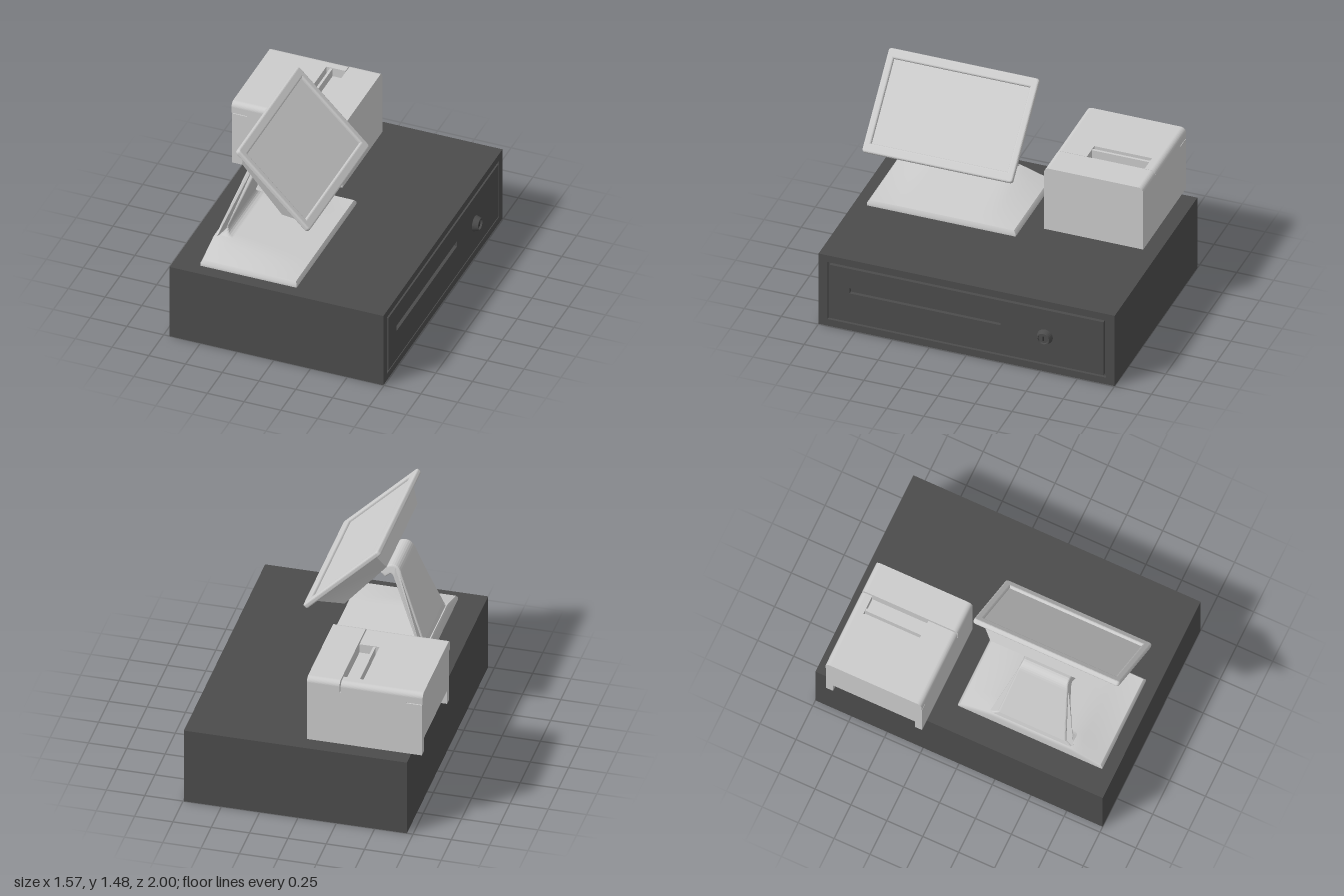
import * as THREE from 'three';

const light = new THREE.MeshStandardMaterial({ color: 0xcccccc });
const dark = new THREE.MeshStandardMaterial({ color: 0x4c4c4c });
const black = new THREE.MeshStandardMaterial({ color: 0x2c2c2c });

function add(parent, name, geometry, material, x = 0, y = 0, z = 0) {
  const mesh = new THREE.Mesh(geometry, material);
  mesh.name = name;
  mesh.position.set(x, y, z);
  parent.add(mesh);
  return mesh;
}

// Box given by its minimum and maximum corners
function block(parent, name, a, b, material) {
  return add(parent, name, new THREE.BoxGeometry(b[0] - a[0], b[1] - a[1], b[2] - a[2]), material,
    (a[0] + b[0]) / 2, (a[1] + b[1]) / 2, (a[2] + b[2]) / 2);
}

function rectPath(x0, y0, x1, y1, Type = THREE.Path) {
  return new Type([[x0, y0], [x1, y0], [x1, y1], [x0, y1]].map(p => new THREE.Vector2(...p)));
}

// Extrudes a shape drawn in (-z, y) along +x, from x0 to x1
function extrudeX(shape, x0, x1) {
  return new THREE.ExtrudeGeometry(shape, { depth: x1 - x0, bevelEnabled: false, curveSegments: 6 })
    .rotateY(Math.PI / 2).translate(x0, 0, 0);
}

function makeDrawer() {
  const g = new THREE.Group();
  g.name = 'cashDrawer';
  block(g, 'drawerCase', [-0.71, 0, -1], [0.725, 0.53, 1], dark);
  // Front surround and the panel inside it, with a narrow gap between
  const rim = rectPath(-1, 0, 1, 0.53, THREE.Shape);
  rim.holes.push(rectPath(-0.94, 0.05, 0.94, 0.48));
  add(g, 'frontSurround', extrudeX(rim, 0.725, 0.745), dark);
  const panel = rectPath(-0.925, 0.065, 0.925, 0.465, THREE.Shape);
  panel.holes.push(rectPath(-0.79, 0.28, 0.23, 0.32));
  add(g, 'drawerPanel', extrudeX(panel, 0.725, 0.748), dark);
  // Lock with key slot
  const lock = new THREE.Group();
  lock.name = 'lock';
  lock.position.set(0.745, 0.265, -0.53);
  lock.rotation.z = -Math.PI / 2;
  g.add(lock);
  const profile = [[0.054, 0], [0.042, 0.04], [0.035, 0.04], [0.033, 0.028], [0, 0.028]];
  add(lock, 'lockBarrel', new THREE.LatheGeometry(profile.map(p => new THREE.Vector2(...p)), 28),
    new THREE.MeshStandardMaterial({ color: 0x4c4c4c, side: THREE.DoubleSide, flatShading: true }));
  add(lock, 'keySlot', new THREE.BoxGeometry(0.03, 0.006, 0.008), black, 0, 0.029, 0);
  return g;
}

// Printer section in (-z, y): rounded top corners, optional notch below or above
function printerSection(y0, y1, r, under, over) {
  const a = 0.225, b = 0.895, s = new THREE.Shape();
  s.moveTo(a, y0);
  if (under) {
    s.lineTo(a + 0.05, y0); s.lineTo(a + 0.05, under);
    s.lineTo(b - 0.05, under); s.lineTo(b - 0.05, y0);
  }
  s.lineTo(b, y0);
  s.lineTo(b, y1 - r);
  if (r) s.absarc(b - r, y1 - r, r, 0, Math.PI / 2);
  if (over) {
    s.lineTo(0.82, y1); s.lineTo(0.82, over);
    s.lineTo(0.43, over); s.lineTo(0.43, y1);
  }
  s.lineTo(a + r, y1);
  if (r) s.absarc(a + r, y1 - r, r, Math.PI / 2, Math.PI);
  return s;
}

function makePrinter() {
  const g = new THREE.Group();
  g.name = 'receiptPrinter';
  add(g, 'printerBody', extrudeX(printerSection(0.53, 0.91, 0), -0.68, -0.03), light);
  add(g, 'cableArch', extrudeX(printerSection(0.53, 0.905, 0, 0.63), -0.78, -0.68), light);
  add(g, 'frontCover', extrudeX(printerSection(0.91, 0.99, 0.035), -0.243, -0.03), light);
  add(g, 'lidSlotPart', extrudeX(printerSection(0.91, 0.987, 0.035, 0, 0.925), -0.38, -0.25), light);
  add(g, 'lidRear', extrudeX(printerSection(0.91, 0.987, 0.035), -0.785, -0.38), light);
  block(g, 'tearBar', [-0.355, 0.925, -0.82], [-0.338, 0.982, -0.43], light);
  for (const z of [-0.7, -0.56, -0.42])
    block(g, 'socket', [-0.71, 0.55, z - 0.04], [-0.68, 0.6, z + 0.04], light);
  return g;
}

function makeStand() {
  const g = new THREE.Group();
  g.name = 'stand';
  g.position.z = 0.412;
  // Foot: a low slab whose top rises toward the arm
  const foot = new THREE.BoxGeometry(1, 1, 1, 16, 2, 18);
  const p = foot.attributes.position;
  const clamp = THREE.MathUtils.clamp;
  for (let i = 0; i < p.count; i++) {
    const h = p.getY(i) + 0.5;
    const inset = 1 - 0.03 * Math.max(0, h - 0.5) * 2;
    const x = -0.208 + p.getX(i) * 0.655 * inset, z = p.getZ(i) * 1.005 * inset;
    const rise = clamp((0.12 - x) / 0.57, 0, 1) * clamp((0.49 - Math.abs(z)) / 0.21, 0, 1);
    const top = 0.567 + 0.065 * rise;
    p.setXYZ(i, x, h === 0 ? 0.53 : h < 1 ? top - 0.018 : top, z);
  }
  foot.computeVertexNormals();
  add(g, 'foot', foot, light);

  // Arm: hooked side profile, its width narrowing with height
  const s = new THREE.Shape();
  s.moveTo(-0.53, 0.56);
  s.lineTo(-0.522, 0.62);
  s.lineTo(-0.51, 0.67);
  s.lineTo(-0.345, 1.11);
  s.quadraticCurveTo(-0.325, 1.165, -0.28, 1.162);
  s.lineTo(-0.215, 1.14);
  s.lineTo(-0.21, 1.1);
  s.lineTo(-0.24, 1.075);
  s.lineTo(-0.272, 1.1);
  s.quadraticCurveTo(-0.285, 1.105, -0.295, 1.08);
  s.lineTo(-0.45, 0.68);
  s.quadraticCurveTo(-0.46, 0.635, -0.4, 0.625);
  s.lineTo(-0.38, 0.56);
  const arm = new THREE.ExtrudeGeometry(s, {
    depth: 1.9, bevelThickness: 0.05, bevelSize: 0.012, bevelOffset: -0.012, bevelSegments: 3, curveSegments: 6,
  }).translate(0, 0, -0.95);
  const widths = [[0.5, 0.34], [0.62, 0.29], [0.66, 0.237], [0.98, 0.195], [1.1, 0.175], [1.2, 0.15]];
  const q = arm.attributes.position;
  for (let i = 0; i < q.count; i++) {
    const y = q.getY(i);
    const k = Math.max(1, widths.findIndex(w => w[0] >= y));
    const [y0, w0] = widths[k - 1], [y1, w1] = widths[k];
    q.setZ(i, q.getZ(i) * THREE.MathUtils.mapLinear(y, y0, y1, w0, w1));
  }
  arm.computeVertexNormals();
  add(g, 'arm', arm, light);

  // Hinge between the arm and the display
  const neck = add(g, 'hinge', new THREE.CylinderGeometry(0.032, 0.032, 0.14, 20), light, -0.185, 1.122, 0);
  neck.rotation.z = -Math.PI / 2 + 0.2;
  return g;
}

function makeDisplay() {
  const g = new THREE.Group();
  g.name = 'display';
  const c = Math.SQRT1_2;
  g.quaternion.setFromRotationMatrix(new THREE.Matrix4().makeBasis(
    new THREE.Vector3(0, 0, -1), new THREE.Vector3(-c, c, 0), new THREE.Vector3(c, c, 0)));
  g.position.set(-0.035, 1.235, 0.408);

  // Rounded bezel around the recessed screen
  const w = 0.508, h = 0.345, r = 0.02;
  const outline = new THREE.Shape();
  outline.absarc(w - r, h - r, r, 0, Math.PI / 2);
  outline.absarc(-w + r, h - r, r, Math.PI / 2, Math.PI);
  outline.absarc(-w + r, -h + r, r, Math.PI, Math.PI * 1.5);
  outline.absarc(w - r, -h + r, r, Math.PI * 1.5, Math.PI * 2);
  outline.holes.push(rectPath(-0.46, -0.28, 0.46, 0.28));
  add(g, 'bezel', new THREE.ExtrudeGeometry(outline, {
    depth: 0.013, bevelThickness: 0.012, bevelSize: 0.012, bevelOffset: -0.012, bevelSegments: 4, curveSegments: 5,
  }).translate(0, 0, -0.021), light);
  add(g, 'screen', new THREE.BoxGeometry(0.95, 0.59, 0.014), light, 0, 0, -0.022);

  // Tapered housing behind the screen
  const back = new THREE.BoxGeometry(2, 2, 2);
  const p = back.attributes.position;
  for (let i = 0; i < p.count; i++) {
    const rear = p.getZ(i) < 0, up = p.getY(i) > 0;
    p.setXYZ(i, p.getX(i) * (rear ? 0.38 : 0.46),
      up ? (rear ? 0.23 : 0.278) : (rear ? -0.19 : -0.29),
      rear ? (up ? -0.152 : -0.184) : -0.025);
  }
  back.computeVertexNormals();
  add(g, 'rearHousing', back, light);
  return g;
}

export function createModel() {
  const model = new THREE.Group();
  model.name = 'salesCounterSet';
  model.add(makeDrawer(), makePrinter(), makeStand(), makeDisplay());
  return model;
}
